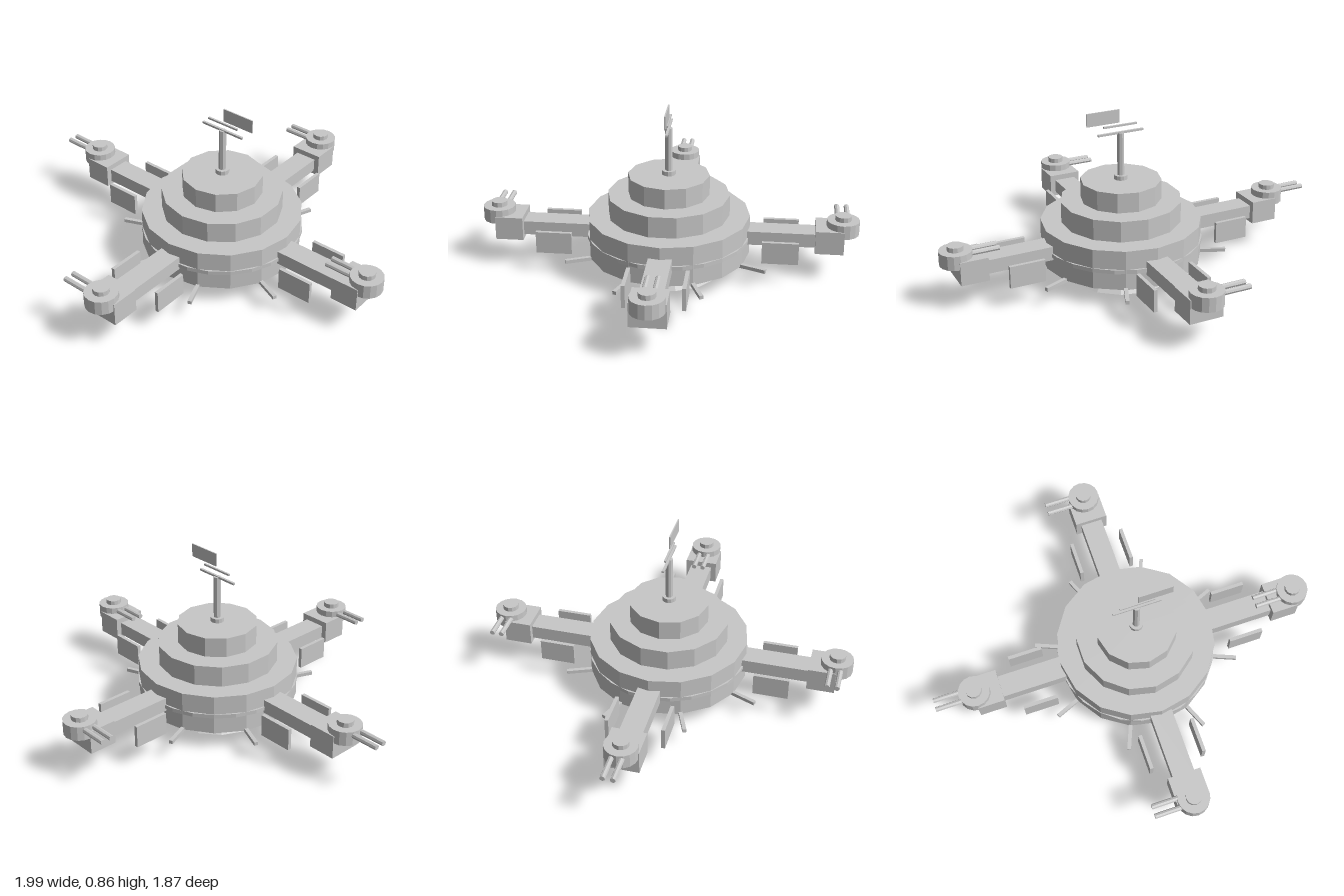
import * as THREE from 'three';

export function createModel() {
  const model = new THREE.Group();
  model.name = 'spaceStation';
  const hullGrey = new THREE.MeshStandardMaterial({ color: 0xc8c8c8, flatShading: true });
  hullGrey.name = 'hullGrey';

  const add = (parent, name, geometry, x = 0, y = 0, z = 0) => {
    const mesh = new THREE.Mesh(geometry, hullGrey);
    mesh.name = name;
    mesh.position.set(x, y, z);
    parent.add(mesh);
    return mesh;
  };
  const box = (parent, name, w, h, d, x, y, z) =>
    add(parent, name, new THREE.BoxGeometry(w, h, d), x, y, z);
  // Upright cylinder between two heights
  const drum = (parent, name, rTop, rBottom, y0, y1, sides) =>
    add(parent, name, new THREE.CylinderGeometry(rTop, rBottom, y1 - y0, sides), 0, (y0 + y1) / 2, 0);

  // The hub sits off centre because all the guns point to -x
  const hub = new THREE.Group();
  hub.name = 'hub';
  hub.position.x = 0.059;
  model.add(hub);

  // Stepped body
  drum(hub, 'baseCone', 0.16, 0.27, 0, 0.1, 14);
  drum(hub, 'lowerDeck', 0.4, 0.4, 0.095, 0.295, 16);
  drum(hub, 'deckBand', 0.403, 0.403, 0.18, 0.2, 24);
  drum(hub, 'middleDeck', 0.3, 0.3, 0.295, 0.4, 14);
  drum(hub, 'upperDeck', 0.2, 0.2, 0.4, 0.5, 12);

  // Mast with aerials and a flat panel
  drum(hub, 'mastFoot', 0.034, 0.034, 0.5, 0.522, 12);
  drum(hub, 'mast', 0.018, 0.018, 0.52, 0.738, 8);
  box(hub, 'lowerAerial', 0.24, 0.01, 0.012, 0, 0.738, 0);
  box(hub, 'upperAerial', 0.175, 0.009, 0.01, 0.002, 0.774, 0);
  box(hub, 'mastPanel', 0.172, 0.066, 0.006, 0.092, 0.823, 0);

  // Four arms, each with a pod, side fins and a gun turret
  for (let i = 0; i < 4; i++) {
    const angle = i * Math.PI / 2;
    const arm = new THREE.Group();
    arm.name = 'arm';
    arm.rotation.y = angle;
    hub.add(arm);
    box(arm, 'armBeam', 0.43, 0.07, 0.112, 0.535, 0.2, 0);
    box(arm, 'armPod', 0.138, 0.118, 0.168, 0.79, 0.204, 0);
    for (const side of [-1, 1]) {
      box(arm, 'armFin', 0.177, 0.111, 0.018, 0.553, 0.167, side * 0.137);
    }

    const turret = new THREE.Group();
    turret.name = 'turret';
    turret.position.set(Math.cos(angle) * 0.853, 0, -Math.sin(angle) * 0.853);
    hub.add(turret);
    drum(turret, 'turretBody', 0.08, 0.08, 0.225, 0.296, 16);
    drum(turret, 'turretCap', 0.04, 0.04, 0.296, 0.32, 12);
    for (const side of [-1, 1]) {
      const barrel = add(turret, 'gunBarrel', new THREE.CylinderGeometry(0.013, 0.013, 0.166, 8), -0.123, 0.275, side * 0.024);
      barrel.rotation.z = Math.PI / 2;
    }
  }

  // Docking spokes around the lower rim
  for (let i = 0; i < 8; i++) {
    const spoke = new THREE.Group();
    spoke.name = 'spoke';
    spoke.rotation.y = (i + 0.5) * Math.PI / 4;
    hub.add(spoke);
    box(spoke, 'spokeBar', 0.187, 0.018, 0.019, 0.4335, 0.098, 0);
  }

  return model;
}
